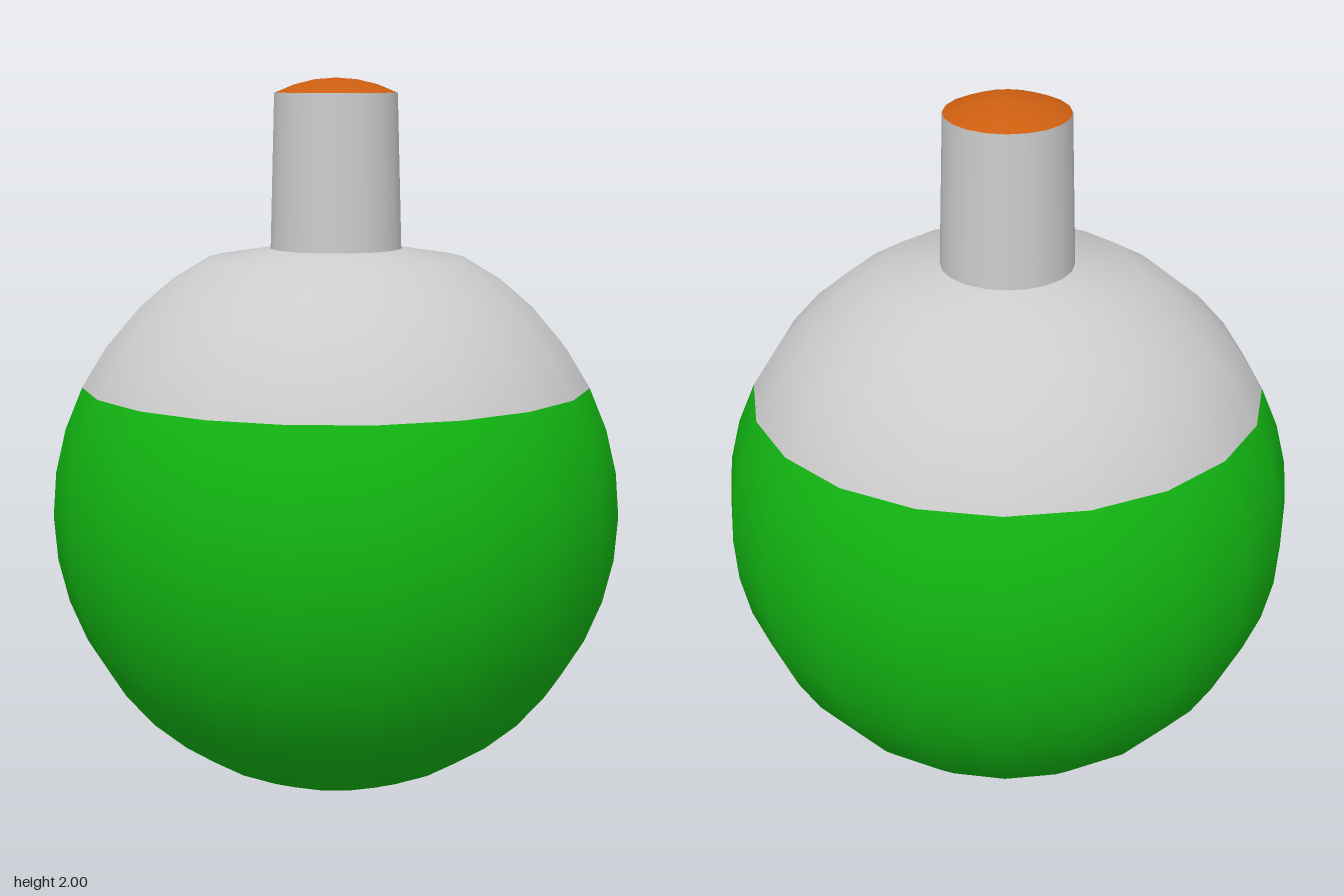
import * as THREE from 'three';

const SIDES = 20;
const RADIUS = 0.796;
const STEP = Math.PI / 20; // angle between rings of the sphere
const NECK = { bottom: 1.534, top: 1.96, rBottom: 0.183, rTop: 0.171 };

// Band of a sphere between two ring numbers counted from the top pole
function sphereBand(radius, from, to) {
  return new THREE.SphereGeometry(radius, SIDES, to - from, 0, Math.PI * 2, from * STEP, (to - from) * STEP);
}

export function createModel() {
  const model = new THREE.Group();
  const grey = new THREE.MeshStandardMaterial({ color: 0xcccccc });
  const green = new THREE.MeshStandardMaterial({ color: 0x12b412 });
  const orange = new THREE.MeshStandardMaterial({ color: 0xcc5e10 });

  const add = (name, geometry, material, y) => {
    const mesh = new THREE.Mesh(geometry, material);
    mesh.name = name;
    mesh.position.y = y;
    model.add(mesh);
  };

  // Round lower body
  add('lowerBody', sphereBand(RADIUS, 7, 20), green, RADIUS);

  // Upper shell, its top ring drawn in to meet the neck
  const shell = sphereBand(RADIUS, 2, 7);
  const pos = shell.attributes.position;
  const pull = NECK.rBottom / (RADIUS * Math.sin(2 * STEP));
  for (let i = 0; i <= SIDES; i++) {
    pos.setXYZ(i, pos.getX(i) * pull, NECK.bottom - RADIUS, pos.getZ(i) * pull);
  }
  add('upperShell', shell, grey, RADIUS);

  // Tapered neck
  const height = NECK.top - NECK.bottom;
  add('neck', new THREE.CylinderGeometry(NECK.rTop, NECK.rBottom, height, SIDES, 1, true), grey, NECK.bottom + height / 2);

  // Shallow domed cap
  const capRadius = NECK.rTop / Math.sin(3 * STEP);
  add('cap', sphereBand(capRadius, 0, 3), orange, 2 - capRadius);

  return model;
}
